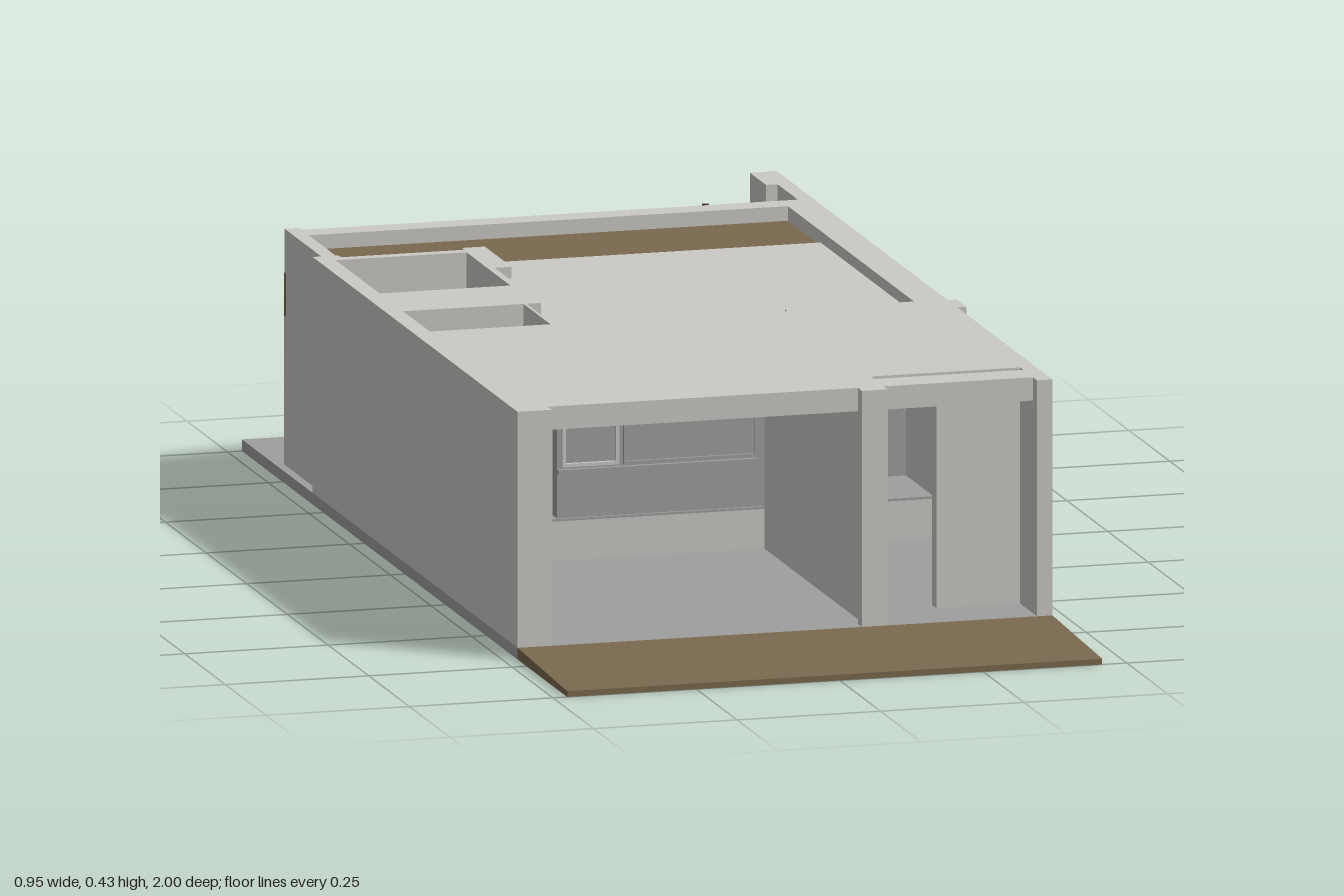
import * as THREE from 'three';

const mat = (name, color, side = THREE.FrontSide) => {
  const m = new THREE.MeshStandardMaterial({ color, side });
  m.name = name;
  return m;
};

export function createModel() {
  const wall = mat('pale plaster', 0xcbcac6);
  const grey = mat('grey concrete', 0x9f9f9f);
  const earth = mat('brown earth', 0x7a694e);
  const wood = mat('dark wood', 0x4f3c28);
  const leaf = mat('dark green leaf', 0x10393a, THREE.DoubleSide);

  const house = new THREE.Group();
  house.name = 'house';

  const add = (name, geometry, material) => {
    const mesh = new THREE.Mesh(geometry, material);
    mesh.name = name;
    house.add(mesh);
    return mesh;
  };
  // Box given by its limits on each axis
  const box = (name, material, x0, x1, y0, y1, z0, z1) => {
    const g = new THREE.BoxGeometry(x1 - x0, y1 - y0, z1 - z0);
    g.translate((x0 + x1) / 2, (y0 + y1) / 2, (z0 + z1) / 2);
    return add(name, g, material);
  };
  // Plan outline in x and z, extruded upwards
  const toPath = (points, P) => new P(points.map(([x, z]) => new THREE.Vector2(x, -z)));
  const slab = (name, material, outline, holes, y0, y1) => {
    const s = toPath(outline, THREE.Shape);
    s.holes = holes.map((h) => toPath(h, THREE.Path));
    const g = new THREE.ExtrudeGeometry(s, { depth: y1 - y0, bevelEnabled: false });
    g.rotateX(-Math.PI / 2).translate(0, y0, 0);
    return add(name, g, material);
  };
  const rect = (x0, x1, z0, z1) => [[x0, z0], [x1, z0], [x1, z1], [x0, z1]];

  const TOP = 0.425, CEIL = 0.385, G = 0.02, F = 0.092;

  // Foundation and gently sloping forecourt
  box('foundation', grey, -0.475, 0.457, 0, G, -1, 0.695);
  const ramp = new THREE.Shape([[-1, 0], [-0.695, 0], [-0.695, 0.02], [-1, 0.01]].map(([a, b]) => new THREE.Vector2(a, b)));
  const rampGeo = new THREE.ExtrudeGeometry(ramp, { depth: 0.932, bevelEnabled: false });
  rampGeo.rotateY(Math.PI / 2).translate(-0.475, 0, 0);
  add('forecourt', rampGeo, earth);

  // Outer walls
  box('leftWall', wall, -0.475, -0.445, G, CEIL, -0.565, 0.67);
  box('leftRearWall', wall, -0.46, -0.435, G, TOP, -0.79, -0.565);
  box('rightWall', wall, 0.43, 0.457, G, CEIL, -0.775, 0.67);
  box('rightRearWall', wall, 0.43, 0.457, G, TOP, -0.9, -0.775);
  box('rightRearEnd', wall, 0.41, 0.457, G, TOP, -1, -0.9);
  box('pilaster', wall, 0.457, 0.473, 0.025, TOP, 0.05, 0.11);
  box('backWall', wall, -0.435, 0.40, G, TOP, -0.775, -0.73);

  // Front columns and the wall between garage and entrance
  box('leftColumn', wall, -0.475, -0.415, G, TOP, 0.67, 0.695);
  box('middleColumn', wall, 0.125, 0.17, G, TOP, 0.67, 0.695);
  box('rightColumn', wall, 0.43, 0.457, G, TOP, 0.67, 0.695);
  box('garageSideWall', wall, 0.135, 0.165, G, CEIL, 0.06, 0.67);

  // Roof with two light wells, a slot and a bite for the terrace
  const roofOutline = [
    [-0.475, 0.67], [0.457, 0.67], [0.457, -0.775], [0.40, -0.775], [0.40, 0.045],
    [0.175, 0.045], [0.175, 0.06], [-0.23, 0.06], [-0.23, -0.115], [-0.205, -0.115],
    [-0.205, -0.40], [-0.175, -0.40], [-0.175, -0.565], [-0.215, -0.565],
    [-0.215, -0.55], [-0.43, -0.55], [-0.43, -0.565], [-0.475, -0.565],
  ];
  slab('roof', wall, roofOutline, [
    rect(-0.445, -0.217, -0.53, -0.26),
    rect(-0.445, -0.235, -0.115, 0.05),
    rect(0.17, 0.43, 0.59, 0.61),
  ], CEIL, TOP);
  slab('terrace', wall, [
    [-0.23, 0.06], [0.175, 0.06], [0.175, 0.045], [0.40, 0.045], [0.40, -0.53], [-0.175, -0.53],
    [-0.175, -0.40], [-0.205, -0.40], [-0.205, -0.115], [-0.23, -0.115],
  ], [], CEIL, 0.405);
  slab('plantedRoof', earth, [
    [-0.435, -0.73], [0.40, -0.73], [0.40, -0.53], [-0.175, -0.53], [-0.175, -0.565],
    [-0.215, -0.565], [-0.215, -0.55], [-0.43, -0.55], [-0.43, -0.565], [-0.435, -0.565],
  ], [], CEIL, 0.40);

  // Shallow well with its floor and sides
  box('wellFloor', wall, -0.445, -0.217, 0.32, 0.34, -0.53, -0.26);
  box('wellSide', wall, -0.217, -0.207, 0.32, CEIL, -0.54, -0.25);
  box('wellBack', wall, -0.445, -0.217, 0.32, CEIL, -0.54, -0.53);
  box('wellFront', wall, -0.445, -0.217, 0.32, CEIL, -0.26, -0.25);

  // Raised rear floor and inner walls
  box('floorStep', wall, -0.445, 0.43, G, 0.088, -0.73, 0.06);
  box('raisedFloor', grey, -0.445, 0.43, 0.088, F, -0.73, 0.06);
  box('courtWall', grey, -0.445, -0.225, F, CEIL, -0.135, -0.115);
  box('courtSideWall', grey, -0.235, -0.225, F, CEIL, -0.115, 0.03);
  box('windowWall', grey, -0.225, 0.165, F, CEIL, 0.03, 0.055);
  box('hallWall', grey, 0.165, 0.43, F, CEIL, -0.13, -0.11);

  // Frames as four thin bars
  const frame = (name, material, x0, x1, y0, y1, z0, z1, t) => {
    box(name, material, x0, x1, y1 - t, y1, z0, z1);
    box(name, material, x0, x1, y0, y0 + t, z0, z1);
    box(name, material, x0, x0 + t, y0 + t, y1 - t, z0, z1);
    box(name, material, x1 - t, x1, y0 + t, y1 - t, z0, z1);
  };
  frame('smallWindowFrame', wall, -0.217, -0.118, 0.18, 0.363, 0.055, 0.062, 0.006);
  frame('largeWindowFrame', grey, -0.11, 0.122, 0.18, 0.363, 0.055, 0.06, 0.004);
  box('windowSill', grey, -0.225, 0.125, 0.168, 0.176, 0.055, 0.063);

  // Entrance screen, doorway, steps and handrail
  box('entranceScreen', wall, 0.285, 0.43, G, CEIL, 0.56, 0.59);
  box('doorLintel', wall, 0.165, 0.285, 0.365, CEIL, 0.06, 0.09);
  box('doorPost', wall, 0.165, 0.20, F, 0.365, 0.06, 0.09);
  [0.03, 0.05, 0.075].forEach((h, i) =>
    box('entranceStep', wall, 0.185, 0.29, G, h, 0.06, 0.21 - i * 0.05));
  box('handrailPost', wood, 0.187, 0.191, 0.03, 0.205, 0.21, 0.216);
  box('handrail', wood, 0.187, 0.191, 0.2, 0.205, 0.09, 0.21);

  // Rear doors facing the garden
  frame('gardenDoorFrame', wall, -0.04, 0.14, G, 0.365, -0.782, -0.775, 0.01);
  frame('gardenDoorFrame', wall, 0.155, 0.33, G, 0.365, -0.782, -0.775, 0.01);

  // Garden bed and slanted boundary wall
  slab('gardenBed', earth, [[-0.08, -0.775], [0.43, -0.775], [0.43, -0.9], [0.41, -0.9], [0.41, -0.99], [-0.08, -0.873]], [], G, 0.03);
  const boundary = (name, material, y0, y1) =>
    slab(name, material, [[-0.46, -0.795], [0.41, -1], [0.41, -0.988], [-0.46, -0.783]], [], y0, y1);
  boundary('boundaryWall', wall, G, 0.275);
  boundary('boundaryBoards', earth, 0.275, 0.35);

  // Garden tree
  const trunk = add('treeTrunk', new THREE.CylinderGeometry(0.006, 0.007, 0.39, 8), wood);
  trunk.position.set(0.29, 0.215, -0.85);
  for (let i = 0; i < 7; i++) {
    const a = (i / 7) * Math.PI * 2;
    const g = new THREE.CircleGeometry(0.085, 5, a, 0.68);
    g.rotateX(-Math.PI / 2);
    add('treeLeaf', g, leaf).position.set(0.29, 0.33 + (i % 2) * 0.02, -0.85);
  }
  return house;
}
